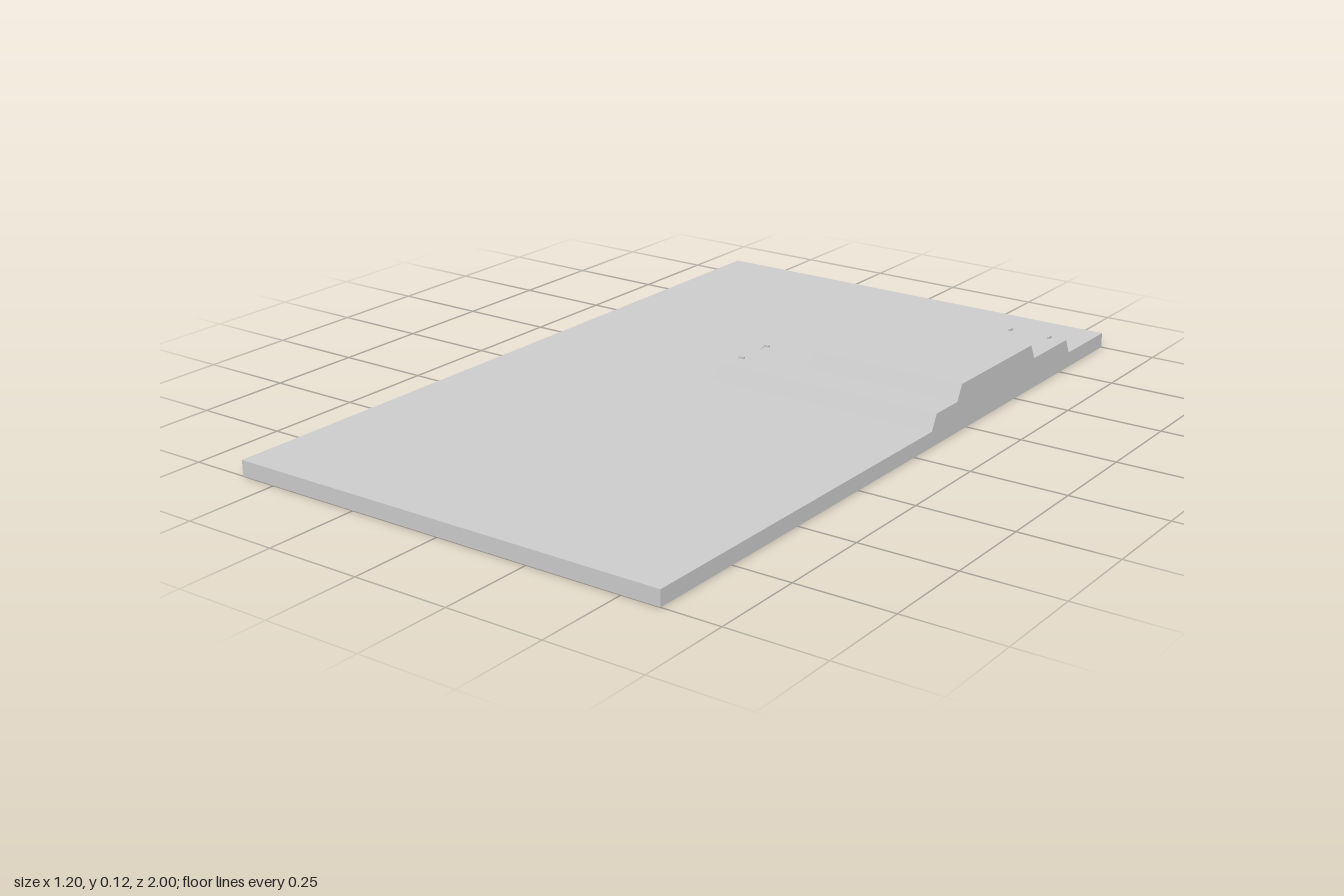
import * as THREE from 'three';

const material = new THREE.MeshStandardMaterial({ color: 0xcccccc, flatShading: true, side: THREE.DoubleSide });

// Levels and half sizes of the open-bottomed terrain shell
const W = 0.6, L = 1, GROUND = 0.04, LOWER = 0.08, UPPER = 0.12;
const BATTER = 0.02; // inward lean of each terrace face
const STAIR = { half: 0.06, run: 0.03, steps: 4, westZ: -0.22, northX: 0.5 };

// Terrace footprints, each running out to the x = W edge
const low = { x: -0.04, back: -0.8, front: -0.08 };
const high = { x: 0.16, back: -0.6, front: -0.2 };
const inset = (t) => ({ x: t.x + BATTER, back: t.back + BATTER, front: t.front - BATTER });

function add(parent, name, geometry) {
  const mesh = new THREE.Mesh(geometry, material);
  mesh.name = name;
  parent.add(mesh);
  return mesh;
}

const shapeOf = (points) => new THREE.Shape(points.map(([x, y]) => new THREE.Vector2(x, y)));

// Level surface from an outline of [x, z] points
const flat = (points, y) =>
  new THREE.ShapeGeometry(shapeOf(points.map(([x, z]) => [x, -z]))).rotateX(-Math.PI / 2).translate(0, y, 0);

// Surface made of four-cornered faces
function quads(list) {
  const positions = list.flatMap(([a, b, c, d]) => [a, b, c, a, c, d].flat());
  const geometry = new THREE.BufferGeometry();
  geometry.setAttribute('position', new THREE.Float32BufferAttribute(positions, 3));
  geometry.computeVertexNormals();
  return geometry;
}

// Sloping faces on the three open sides; gaps leave room for the stairs
function slopes(t, y0, y1, gapZ, gapX) {
  const u = inset(t);
  const west = (z0, z1, zt0 = z0, zt1 = z1) => [[t.x, y0, z0], [t.x, y0, z1], [u.x, y1, zt1], [u.x, y1, zt0]];
  const north = (x0, x1, xt0 = x0) => [[x1, y0, t.back], [x0, y0, t.back], [xt0, y1, u.back], [x1, y1, u.back]];
  const faces = [[[t.x, y0, t.front], [W, y0, t.front], [W, y1, u.front], [u.x, y1, u.front]]];
  if (gapZ) {
    faces.push(west(t.back, gapZ[0], u.back, gapZ[0]), west(gapZ[1], t.front, gapZ[1], u.front));
    faces.push(north(t.x, gapX[0], u.x), north(gapX[1], W));
  } else {
    faces.push(west(t.back, t.front, u.back, u.front), north(t.x, W, u.x));
  }
  return quads(faces);
}

// Recessed flight climbing along local +x, with a raised cheek on each side
function makeStair(name) {
  const group = new THREE.Group();
  group.name = name;
  const { half, run, steps } = STAIR;
  const faces = [];
  for (let i = 0; i < steps; i++) {
    const x0 = (run * i) / steps, x1 = (run * (i + 1)) / steps;
    const y0 = GROUND + ((LOWER - GROUND) * i) / steps;
    const y1 = y0 + (LOWER - GROUND) / steps;
    faces.push([[x0, y0, half], [x1, y0, half], [x1, y0, -half], [x0, y0, -half]]);
    faces.push([[x1, y0, half], [x1, y1, half], [x1, y1, -half], [x1, y0, -half]].reverse());
  }
  add(group, 'steps', quads(faces));
  const cheek = shapeOf([
    [-0.005, 0.04], [0.0075, 0.04], [0.03, 0.07], [0.03, 0.08],
    [0.04, 0.08], [0.04, 0.086], [0.028, 0.086], [-0.005, 0.052],
  ]);
  for (const z of [-half, half - 0.006]) {
    add(group, 'stairCheek', new THREE.ExtrudeGeometry(cheek, { depth: 0.006, bevelEnabled: false })).position.z = z;
  }
  return group;
}

export function createModel() {
  const model = new THREE.Group();
  model.name = 'terracedTerrain';
  const lowTop = inset(low), highTop = inset(high);
  const gapZ = [STAIR.westZ - STAIR.half, STAIR.westZ + STAIR.half];
  const gapX = [STAIR.northX - STAIR.half, STAIR.northX + STAIR.half];
  const stairX = low.x + STAIR.run, stairZ = low.back + STAIR.run;

  // Ground around the lower terrace
  add(model, 'ground', flat([
    [-W, L], [W, L], [W, low.front], [low.x, low.front], [low.x, low.back], [W, low.back], [W, -L], [-W, -L],
  ], GROUND));

  // Lower terrace, notched where the stairs arrive
  add(model, 'lowerSlopes', slopes(low, GROUND, LOWER, gapZ, gapX));
  add(model, 'lowerTerrace', flat([
    [lowTop.x, lowTop.front], [W, lowTop.front], [W, high.front], [high.x, high.front],
    [high.x, high.back], [W, high.back], [W, lowTop.back],
    [gapX[1], lowTop.back], [gapX[1], stairZ], [gapX[0], stairZ], [gapX[0], lowTop.back],
    [lowTop.x, lowTop.back],
    [lowTop.x, gapZ[0]], [stairX, gapZ[0]], [stairX, gapZ[1]], [lowTop.x, gapZ[1]],
  ], LOWER));

  // Upper terrace
  add(model, 'upperSlopes', slopes(high, LOWER, UPPER));
  add(model, 'upperTerrace', flat([
    [highTop.x, highTop.front], [W, highTop.front], [W, highTop.back], [highTop.x, highTop.back],
  ], UPPER));

  // Outer skirt on the three plain sides
  add(model, 'skirt', quads([
    [[-W, 0, L], [W, 0, L], [W, GROUND, L], [-W, GROUND, L]],
    [[W, 0, -L], [-W, 0, -L], [-W, GROUND, -L], [W, GROUND, -L]],
    [[-W, 0, -L], [-W, 0, L], [-W, GROUND, L], [-W, GROUND, -L]],
  ]));

  // Cut face following the terrace profile
  const profile = [
    [L, 0], [-L, 0], [-L, GROUND], [low.back, GROUND], [lowTop.back, LOWER], [high.back, LOWER],
    [highTop.back, UPPER], [highTop.front, UPPER], [high.front, LOWER], [lowTop.front, LOWER],
    [low.front, GROUND], [L, GROUND],
  ];
  add(model, 'cutFace', new THREE.ShapeGeometry(shapeOf(profile.map(([z, y]) => [-z, y])))
    .rotateY(Math.PI / 2).translate(W, 0, 0));

  // Stairs up to the lower terrace
  const sideStair = makeStair('sideStair');
  sideStair.position.set(low.x, 0, STAIR.westZ);
  const backStair = makeStair('backStair');
  backStair.rotation.y = -Math.PI / 2;
  backStair.position.set(STAIR.northX, 0, low.back);
  model.add(sideStair, backStair);

  return model;
}
